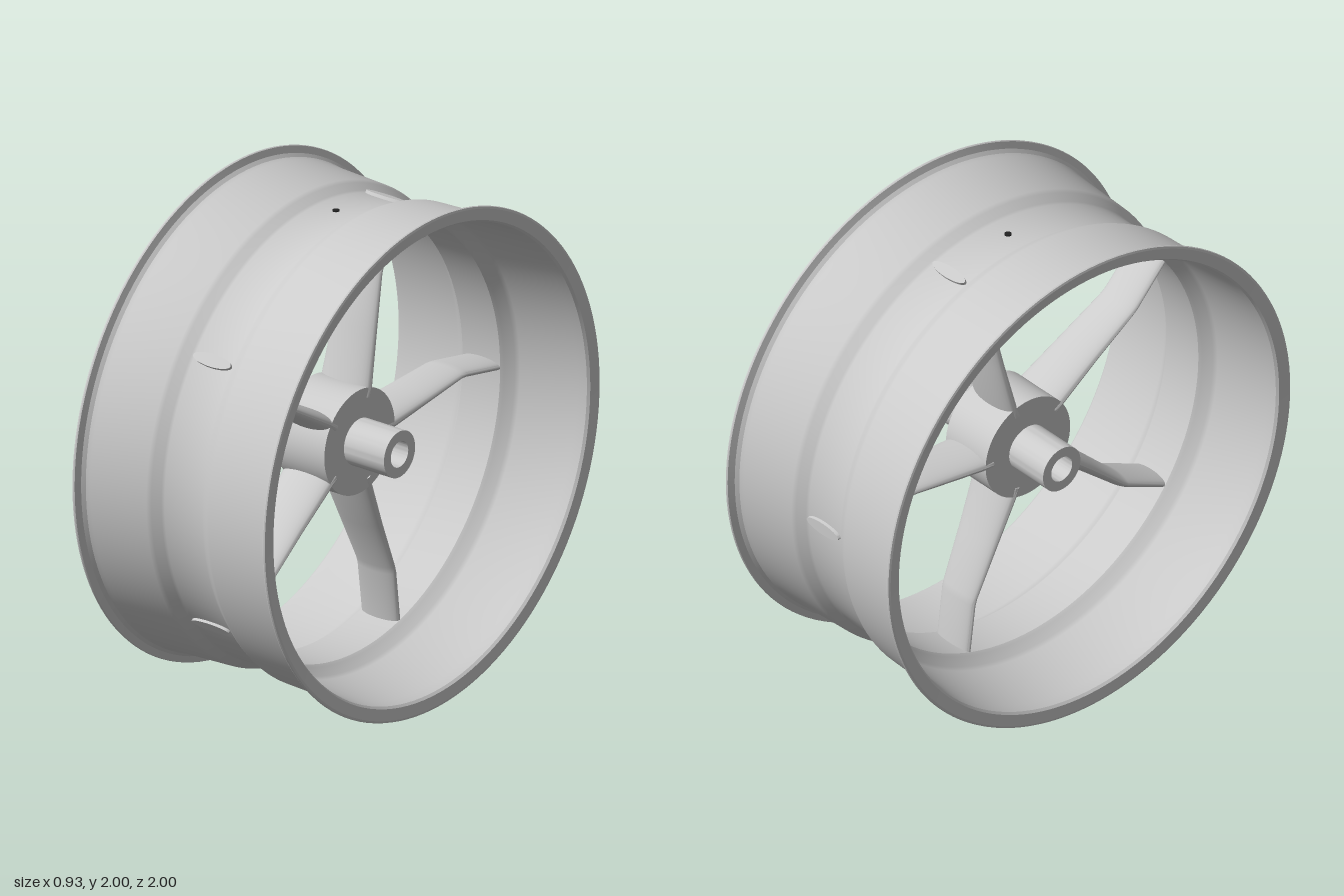
import * as THREE from 'three';
import { toCreasedNormals } from 'three/addons/utils/BufferGeometryUtils.js';

const grey = new THREE.MeshStandardMaterial({ color: 0xcccccc });
const dark = new THREE.MeshStandardMaterial({ color: 0x222222 });

// Turns a closed [radius, x] profile around the x axis
function turned(name, profile, segments) {
  const points = [...profile, profile[0]].map(([r, x]) => new THREE.Vector2(r, x));
  const geometry = new THREE.LatheGeometry(points, segments).rotateZ(-Math.PI / 2);
  const mesh = new THREE.Mesh(toCreasedNormals(geometry, 0.4), grey);
  mesh.name = name;
  return mesh;
}

// Completes a profile that is symmetric about the middle of the wheel;
// outer runs from the middle to the edge, inner from the edge to the middle
function mirrored(outer, inner) {
  const flip = (list) => list.map(([r, x]) => [r, -x]).reverse();
  return [...flip(outer), ...outer, ...inner, ...flip(inner)];
}

// Bent blade of elliptical section, along +y: [radius, offset, half width, half thickness]
function spokeGeometry() {
  const stations = [
    [0.17, 0, 0.119, 0.038],
    [0.21, 0, 0.117, 0.037],
    [0.42, 0.018, 0.103, 0.031],
    [0.64, 0.04, 0.092, 0.024],
    [0.67, 0.039, 0.091, 0.024],
    [0.87, 0, 0.09, 0.024],
    [0.922, -0.01, 0.09, 0.025],
  ];
  const n = 32;
  const positions = [];
  const index = [];
  for (const [r, offset, w, t] of stations) {
    for (let i = 0; i < n; i++) {
      const u = (i / n) * Math.PI * 2;
      positions.push(w * Math.cos(u), r, offset + t * Math.sin(u));
    }
  }
  for (let j = 0; j < stations.length - 1; j++) {
    for (let i = 0; i < n; i++) {
      const k = (i + 1) % n;
      const a = j * n + i, b = a + n, c = j * n + k, d = c + n;
      index.push(a, b, c, c, b, d);
    }
  }
  // End caps
  const last = (stations.length - 1) * n;
  for (let i = 1; i < n - 1; i++) {
    index.push(0, i, i + 1, last, last + i + 1, last + i);
  }
  const geometry = new THREE.BufferGeometry();
  geometry.setAttribute('position', new THREE.Float32BufferAttribute(positions, 3));
  geometry.setIndex(index);
  return toCreasedNormals(geometry, 0.6);
}

export function createModel() {
  const model = new THREE.Group();
  const wheel = new THREE.Group();
  wheel.name = 'wheel';
  wheel.position.y = 1;
  model.add(wheel);

  // Rim with drop centre and flared flanges
  const rimOuter = [
    [0.91, 0.09], [0.915, 0.102], [0.937, 0.132], [0.945, 0.15], [0.955, 0.41],
    [0.96, 0.428], [0.972, 0.441], [0.99, 0.448], [0.998, 0.451], [1, 0.456],
  ];
  const rimInner = [
    [0.998, 0.462], [0.99, 0.465], [0.945, 0.46], [0.937, 0.45], [0.93, 0.41],
    [0.91, 0.15], [0.902, 0.132], [0.875, 0.102], [0.867, 0.09],
  ];
  wheel.add(turned('rim', mirrored(rimOuter, rimInner), 128));

  // Hub drum with a hollow axle sleeve
  const hubOuter = [[0.21, 0.113], [0.093, 0.113], [0.093, 0.305]];
  wheel.add(turned('hub', mirrored(hubOuter, [[0.052, 0.305]]), 64));

  // Five spokes
  const geometry = spokeGeometry();
  for (let i = 0; i < 5; i++) {
    const spoke = new THREE.Mesh(geometry, grey);
    spoke.name = `spoke${i + 1}`;
    spoke.rotation.x = -Math.PI / 2 + (i * Math.PI * 2) / 5;
    wheel.add(spoke);
  }

  // Valve stem through the rim
  const valve = new THREE.Mesh(new THREE.CylinderGeometry(0.014, 0.014, 0.156, 20), dark);
  valve.name = 'valve';
  valve.position.y = 0.836;
  wheel.add(valve);

  return model;
}
